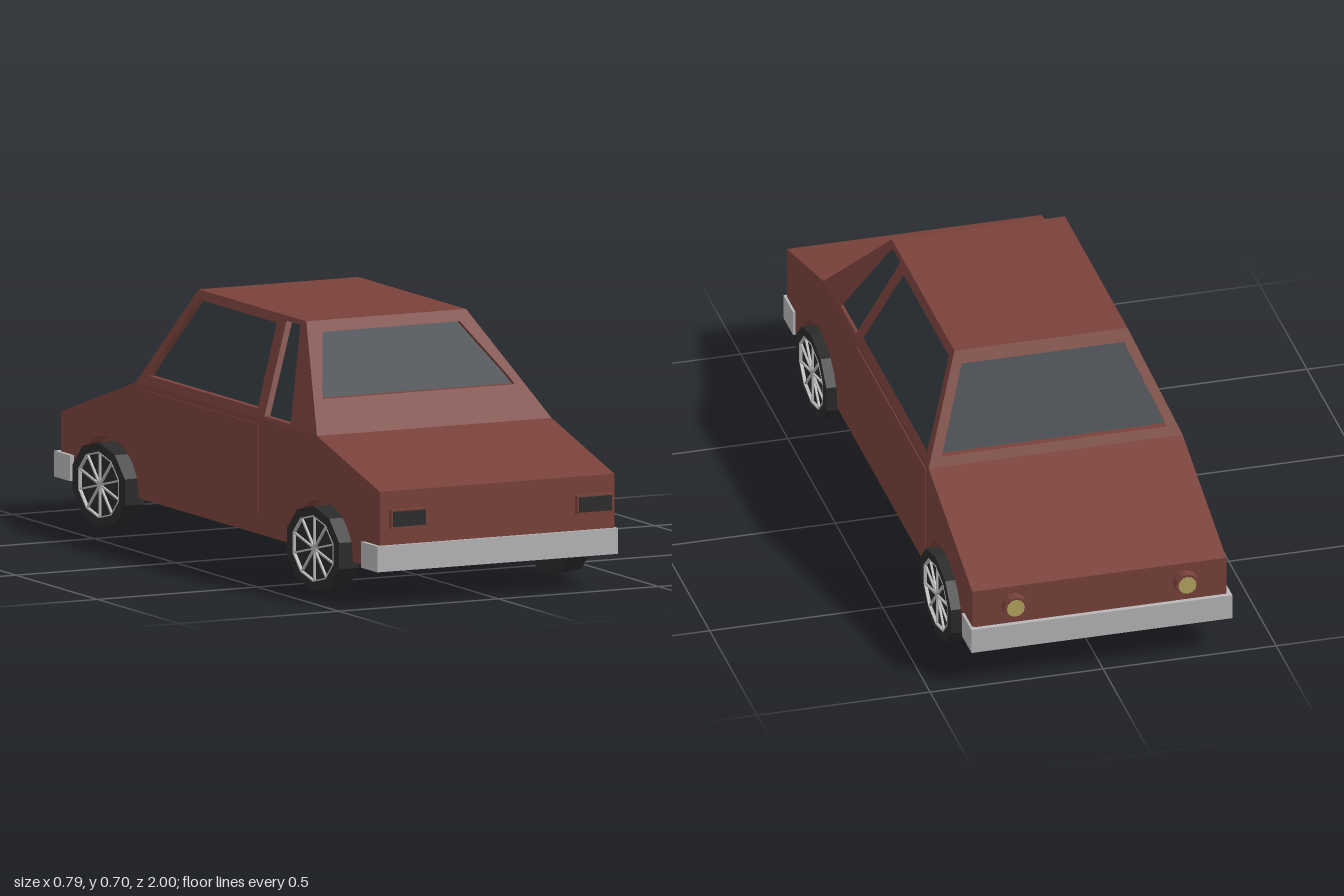
import * as THREE from 'three';

const paint = (color) => new THREE.MeshStandardMaterial({ color, flatShading: true });
const RED = paint(0x7a423b), GLASS = paint(0x343b43), RUBBER = paint(0x2b2b2b);
const CHROME = paint(0xb8b8b8), DARK = paint(0x2d2d2d), LAMP = paint(0xb5a860);

const HALF = 0.367, ROOF_HALF = 0.25, BELT = 0.43, TOP = 0.705;
const RISE = TOP - BELT;
const WHEELS_Z = [-0.677, 0.637];

function add(parent, name, geometry, material, x = 0, y = 0, z = 0) {
  const mesh = new THREE.Mesh(geometry, material);
  mesh.name = name;
  mesh.position.set(x, y, z);
  parent.add(mesh);
  return mesh;
}

function box(parent, name, material, w, h, d, x, y, z) {
  return add(parent, name, new THREE.BoxGeometry(w, h, d), material, x, y, z);
}

const toPoints = (list) => list.map(([u, y]) => new THREE.Vector2(u, y));

// Upright plate whose outer face lies `dist` from the centre, leaning inward by `slope`, turned by `turn`
function plate(outline, holes, thickness, dist, slope, turn) {
  const shape = new THREE.Shape(toPoints(outline));
  holes.forEach((h) => shape.holes.push(new THREE.Path(toPoints(h))));
  const g = new THREE.ExtrudeGeometry(shape, { depth: thickness, bevelEnabled: false });
  const p = g.attributes.position;
  for (let i = 0; i < p.count; i++) {
    p.setZ(i, p.getZ(i) - thickness + dist - slope * (p.getY(i) - BELT));
  }
  g.rotateY(turn);
  g.computeVertexNormals();
  return g;
}

const trapezoid = (b, y0, t, y1) => [[-b, y0], [b, y0], [t, y1], [-t, y1]];

// Outline of the lower body from the side, optionally with wheel arches
function bodyProfile(arches) {
  const pts = [[-0.97, 0.105]];
  if (arches) {
    for (const z of WHEELS_Z) {
      pts.push([z - 0.182, 0.105]);
      for (let k = 0; k <= 10; k++) {
        const a = Math.PI * (1 - k / 10);
        pts.push([z + 0.182 * Math.cos(a), 0.12 + 0.134 * Math.sin(a)]);
      }
      pts.push([z + 0.182, 0.105]);
    }
  }
  pts.push([0.985, 0.105], [0.985, 0.325], [0.6, BELT], [-0.51, BELT], [-0.97, 0.285]);
  return pts;
}

function makeBody() {
  const body = new THREE.Group();
  body.name = 'body';
  body.position.x = 0.003;

  add(body, 'lowerBody', plate(bodyProfile(false), [], 0.66, 0.33, 0, -Math.PI / 2), RED);

  const sideSlope = (HALF - ROOF_HALF) / RISE;
  const cabin = [[0.6, BELT], [0.305, TOP], [-0.355, TOP], [-0.51, BELT]];
  const quarterWindow = [[0.43, 0.44], [0.28, 0.692], [0.195, 0.692], [0.27, 0.44]];
  const doorWindow = [[0.215, 0.455], [0.145, 0.68], [-0.35, 0.68], [-0.455, 0.455]];
  for (const s of [-1, 1]) {
    const side = (list) => list.map(([z, y]) => [-s * z, y]);
    const turn = (s * Math.PI) / 2;
    add(body, 'sidePanel', plate(side(bodyProfile(true)), [], 0.037, HALF, 0, turn), RED);
    add(body, 'cabinSide', plate(side(cabin), [side(quarterWindow), side(doorWindow)],
      0.03, HALF, sideSlope, turn), RED);
    box(body, 'door', RED, 0.006, 0.25, 0.72, s * HALF, 0.29, -0.12);
  }

  // Window frames at both ends of the cabin
  const frame = trapezoid(HALF, BELT, ROOF_HALF, TOP);
  add(body, 'frontWindowFrame', plate(frame, [trapezoid(0.303, 0.517, 0.215, 0.677)],
    0.035, 0.6, 0.295 / RISE, 0), RED);
  add(body, 'backWindowFrame', plate(frame, [trapezoid(0.325, 0.455, 0.235, 0.672)],
    0.035, 0.51, 0.155 / RISE, Math.PI), RED);
  box(body, 'roof', RED, ROOF_HALF * 2, 0.012, 0.66, 0, TOP - 0.006, -0.025);

  // Glass block just inside the frames
  const glass = new THREE.BoxGeometry(1, 1, 1);
  const p = glass.attributes.position;
  for (let i = 0; i < p.count; i++) {
    const up = p.getY(i) > 0, front = p.getZ(i) > 0;
    const x = (up ? ROOF_HALF : HALF) - 0.018;
    const z = front ? (up ? 0.305 : 0.6) - 0.02 : (up ? -0.355 : -0.51) + 0.02;
    p.setXYZ(i, Math.sign(p.getX(i)) * x, up ? TOP - 0.002 : BELT, z);
  }
  glass.computeVertexNormals();
  add(body, 'windowGlass', glass, GLASS);
  return body;
}

function makeWheel() {
  const wheel = new THREE.Group();
  wheel.name = 'wheel';
  const R = 0.12, H = 0.031, RIM = 0.094;
  const profile = toPoints([[0, -H], [R, -H], [R, H], [RIM, H], [RIM, H - 0.008], [0, H - 0.008]]);
  add(wheel, 'tyre', new THREE.LatheGeometry(profile, 10, Math.PI / 2), RUBBER);
  const ring = toPoints([[RIM - 0.004, H - 0.008], [RIM, H - 0.008], [RIM, H + 0.001],
    [RIM - 0.004, H + 0.001], [RIM - 0.004, H - 0.008]]);
  add(wheel, 'rim', new THREE.LatheGeometry(ring, 10, Math.PI / 2), CHROME);
  for (let i = 0; i < 10; i++) {
    const g = new THREE.BoxGeometry(RIM - 0.002, 0.006, 0.005);
    g.translate(RIM / 2, H - 0.004, 0);
    add(wheel, 'spoke', g, CHROME).rotation.y = (i * Math.PI) / 5;
  }
  // Axle along x, stretched lengthwise
  wheel.rotation.z = -Math.PI / 2;
  wheel.scale.z = 1.4;
  return wheel;
}

function makeBumper(name, end, outer) {
  const bumper = new THREE.Group();
  bumper.name = name;
  box(bumper, 'bumperBar', CHROME, 0.754, 0.073, 0.014, 0, 0.1365, end * (outer - 0.007));
  for (const s of [-1, 1]) {
    box(bumper, 'bumperEnd', CHROME, 0.012, 0.073, 0.1, s * 0.371, 0.1365, end * (outer - 0.05));
  }
  return bumper;
}

export function createModel() {
  const car = new THREE.Group();
  car.name = 'car';
  car.add(makeBody());
  car.add(makeBumper('frontBumper', 1, 0.995), makeBumper('backBumper', -1, 0.988));

  for (const s of [-1, 1]) {
    for (const z of WHEELS_Z) {
      const mount = new THREE.Group();
      mount.name = 'wheelMount';
      mount.position.set(s * 0.364, 0.12, z);
      mount.rotation.y = s > 0 ? 0 : Math.PI;
      mount.add(makeWheel());
      car.add(mount);
    }

    // Rectangular lamps in raised surrounds
    const lx = 0.013 + s * 0.291;
    box(car, 'lampSurround', RED, 0.113, 0.053, 0.02, lx, 0.2465, 0.988);
    box(car, 'rectangularLamp', DARK, 0.103, 0.043, 0.02, lx, 0.2465, 0.99);

    // Round lamps at the other end
    const rx = 0.004 + s * 0.248;
    const housing = new THREE.CylinderGeometry(0.034, 0.034, 0.05, 12).rotateX(Math.PI / 2);
    add(car, 'lampHousing', housing, RED, rx, 0.23, -0.973);
    const lens = new THREE.CylinderGeometry(0.026, 0.026, 0.05, 12).rotateX(Math.PI / 2);
    add(car, 'roundLamp', lens, LAMP, rx, 0.23, -0.975);
  }
  return car;
}
